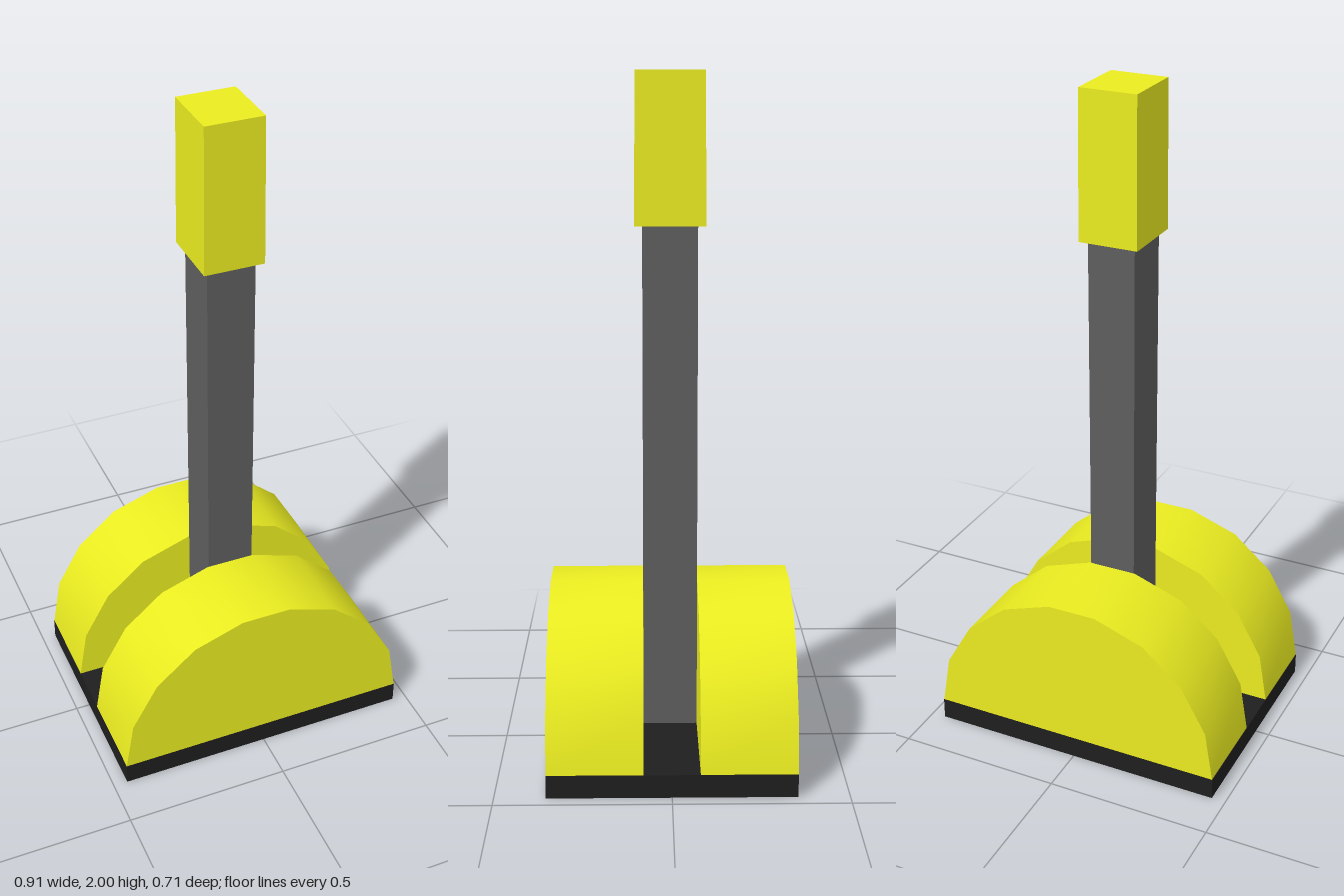
import * as THREE from 'three';
import { toCreasedNormals } from 'three/addons/utils/BufferGeometryUtils.js';

export function createModel() {
  const model = new THREE.Group();
  model.name = 'floorLever';

  const yellow = new THREE.MeshStandardMaterial({ color: 0xeaec20 });
  const black = new THREE.MeshStandardMaterial({ color: 0x1e1e1e });
  const grey = new THREE.MeshStandardMaterial({ color: 0x5e5e5e });

  const add = (name, geometry, material, x, y, z) => {
    const mesh = new THREE.Mesh(geometry, material);
    mesh.name = name;
    mesh.position.set(x, y, z);
    model.add(mesh);
  };

  const baseTop = 0.067, halfSlot = 0.08, halfDepth = 0.354;

  // Flat base plate
  add('basePlate', new THREE.BoxGeometry(0.914, baseTop, halfDepth * 2), black, 0, baseTop / 2, 0);

  // Domed housing, split into two halves by the lever slot
  const side = [[0.456, baseTop], [0.43, 0.222], [0.35, 0.362], [0.228, 0.465], [0.075, 0.518]];
  const outline = [...side, ...side.map(([x, y]) => [-x, y]).reverse()];
  const dome = new THREE.Shape(outline.map(([x, y]) => new THREE.Vector2(x, y)));
  const half = toCreasedNormals(
    new THREE.ExtrudeGeometry(dome, { depth: halfDepth - halfSlot, bevelEnabled: false }), 0.6);
  add('frontHousing', half, yellow, 0, 0, halfSlot);
  add('backHousing', half, yellow, 0, 0, -halfDepth);

  // Upright lever, running through the slot down to the plate
  const leverTop = 1.58;
  add('lever', new THREE.BoxGeometry(0.144, leverTop - baseTop, halfSlot * 2), grey,
    0, (leverTop + baseTop) / 2, 0);

  // Grip, slightly narrower at the top
  const grip = new THREE.BoxGeometry(0.18, 0.435, 0.206);
  const p = grip.attributes.position;
  for (let i = 0; i < p.count; i++) {
    if (p.getY(i) > 0) {
      p.setX(i, p.getX(i) * 0.965);
      p.setZ(i, p.getZ(i) * 0.965);
    }
  }
  grip.computeVertexNormals();
  add('grip', grip, yellow, 0, 2 - 0.435 / 2, 0);

  return model;
}
